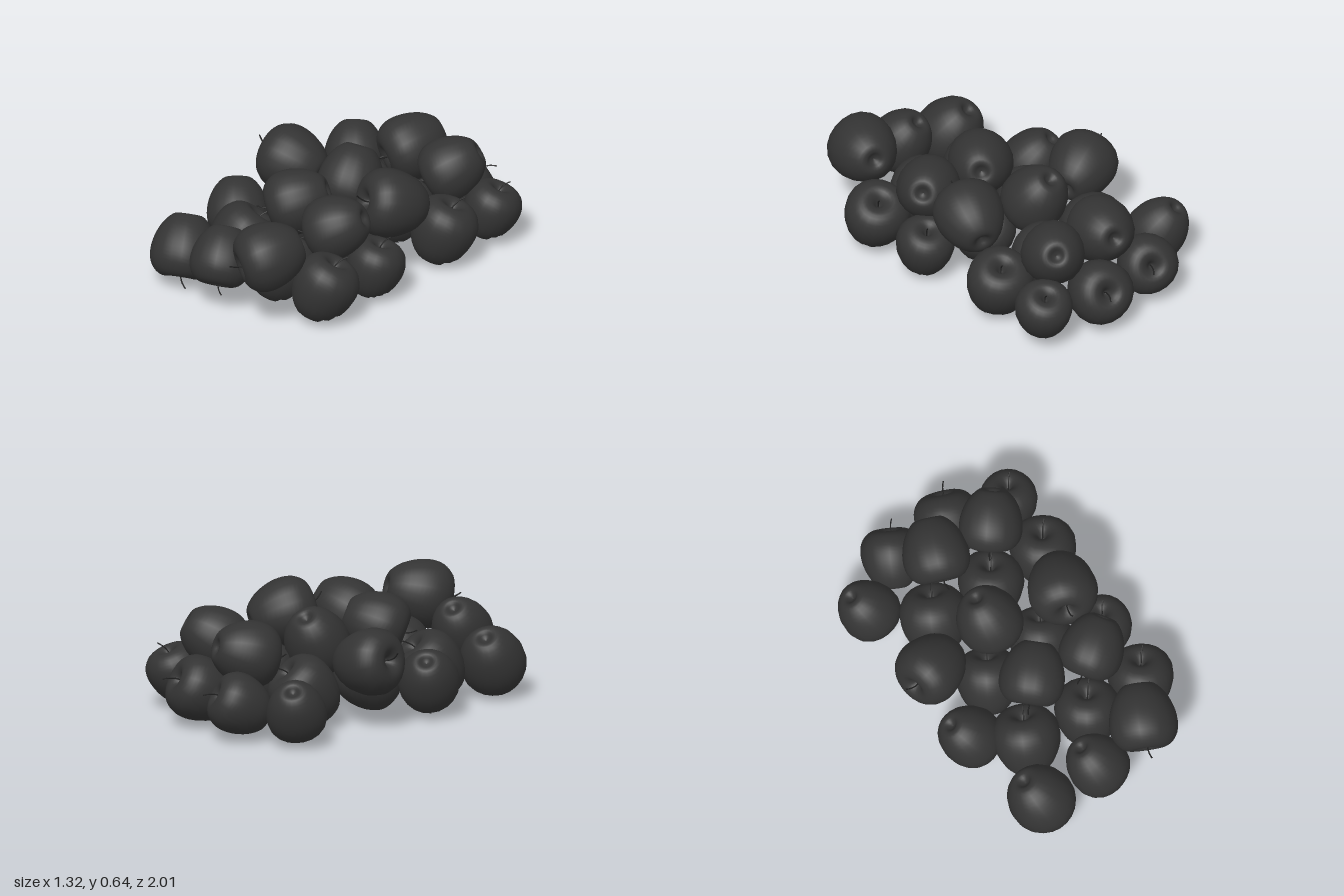
import * as THREE from 'three';

const skin = new THREE.MeshStandardMaterial({ color: 0x333333, side: THREE.DoubleSide });
const wood = new THREE.MeshStandardMaterial({ color: 0x222222 });

// Apple outline for radius 1, from the blossom hollow up to the stem hollow
const outline = new THREE.SplineCurve([
  [0, -0.8], [0.13, -0.86], [0.27, -0.97], [0.48, -0.93], [0.76, -0.62], [0.94, -0.2],
  [1, 0.2], [0.94, 0.55], [0.73, 0.83], [0.44, 0.93], [0.2, 0.8], [0.07, 0.58], [0, 0.52],
].map(([x, y]) => new THREE.Vector2(x, y))).getPoints(36);
outline.forEach((p) => { p.x = Math.max(p.x, 0); });

const stemCurve = new THREE.CatmullRomCurve3([
  new THREE.Vector3(0, 0.5, 0),
  new THREE.Vector3(0.02, 0.82, 0.02),
  new THREE.Vector3(0.09, 1.08, -0.06),
  new THREE.Vector3(0.2, 1.24, -0.14),
]);

// Each apple: centre x, y, z, radius, then the direction its stem points
const lower = [
  [-0.49, 0.205, -0.66, 0.165, 0.06, -0.13, 0.07],
  [-0.205, 0.195, -0.82, 0.167, 0.07, 0.07, -0.12],
  [0.16, 0.195, -0.805, 0.178, 0.05, 0.07, -0.12],
  [0.495, 0.2, -0.71, 0.157, 0.03, 0.14, -0.05],
  [-0.235, 0.205, -0.395, 0.187, 0.05, 0.12, -0.1],
  [0.13, 0.195, -0.375, 0.18, 0.04, 0.14, -0.06],
  [0.473, 0.2, -0.365, 0.182, 0.03, 0.15, -0.05],
  [-0.205, 0.19, 0.06, 0.175, 0.06, 0.12, -0.1],
  [0.165, 0.185, 0.035, 0.172, 0.05, 0.12, -0.08],
  [0.48, 0.185, 0.173, 0.161, 0.02, 0.15, -0.04],
  [-0.48, 0.215, 0.255, 0.168, 0.07, -0.13, 0.07],
  [-0.24, 0.195, 0.46, 0.186, 0.04, 0.12, -0.09],
  [0.12, 0.185, 0.525, 0.18, 0.04, 0.15, -0.06],
  [0.465, 0.2, 0.545, 0.18, 0.04, 0.15, -0.06],
  [-0.378, 0.213, 0.77, 0.182, 0.045, -0.14, 0.08],
];
const upper = [
  [-0.04, 0.42, -0.65, 0.183, -0.065, -0.05, 0.155],
  [0.303, 0.43, -0.61, 0.174, -0.09, -0.08, 0.105],
  [-0.44, 0.372, -0.13, 0.185, -0.18, 0.04, 0.05],
  [-0.036, 0.41, -0.17, 0.18, 0.02, -0.15, 0.09],
  [0.383, 0.45, -0.07, 0.19, -0.08, 0.05, 0.17],
  [-0.035, 0.43, 0.24, 0.18, -0.12, -0.06, 0.12],
  [0.32, 0.425, 0.3, 0.176, -0.13, -0.07, 0.08],
  [-0.038, 0.305, 0.82, 0.169, 0.04, -0.135, 0.085],
  [0.295, 0.43, 0.79, 0.188, -0.09, -0.05, 0.17],
];

// Leaves out the faces of the resting spot, so the underside is open
function openUnderside(geometry, centre, direction, distance) {
  const p = geometry.attributes.position;
  const index = geometry.index.array;
  const corner = new THREE.Vector3();
  const depth = (i) => corner.fromBufferAttribute(p, i).sub(centre).dot(direction);
  const kept = [];
  for (let i = 0; i < index.length; i += 3) {
    const [a, b, c] = [index[i], index[i + 1], index[i + 2]];
    if ((depth(a) + depth(b) + depth(c)) / 3 < distance) kept.push(a, b, c);
  }
  geometry.setIndex(kept);
}

function makeApple([x, y, z, r, dx, dy, dz], number, onGround) {
  const centre = new THREE.Vector3(x, y, z);
  const turn = new THREE.Quaternion().setFromUnitVectors(
    new THREE.Vector3(0, 1, 0), new THREE.Vector3(dx, dy, dz).normalize());
  const place = new THREE.Matrix4().compose(centre, turn, new THREE.Vector3(r, r, r));

  const body = new THREE.LatheGeometry(outline, 20);
  // Slightly uneven girth, different on each apple
  const p = body.attributes.position;
  for (let i = 0; i < p.count; i++) {
    const k = 1 + 0.02 * Math.cos(3 * Math.atan2(p.getZ(i), p.getX(i)) + number);
    p.setXYZ(i, p.getX(i) * k, p.getY(i), p.getZ(i) * k);
  }
  body.applyMatrix4(place);
  if (onGround) {
    // The opening leans to the side, or to the front on upturned apples
    const opening = dy > 0 ? new THREE.Vector3(0.35, -1, -0.05) : new THREE.Vector3(0.15, -1, 0.3);
    openUnderside(body, centre, opening.normalize(), r * 0.88);
  }

  const apple = new THREE.Group();
  apple.name = 'apple';
  const flesh = new THREE.Mesh(body, skin);
  flesh.name = 'appleBody';
  const stem = new THREE.Mesh(
    new THREE.TubeGeometry(stemCurve, 8, 0.022, 5).applyMatrix4(place), wood);
  stem.name = 'stem';
  apple.add(flesh, stem);
  return apple;
}

export function createModel() {
  const pile = new THREE.Group();
  pile.name = 'applePile';
  lower.forEach((a, i) => pile.add(makeApple(a, i, true)));
  upper.forEach((a, i) => pile.add(makeApple(a, i + lower.length, false)));
  return pile;
}
